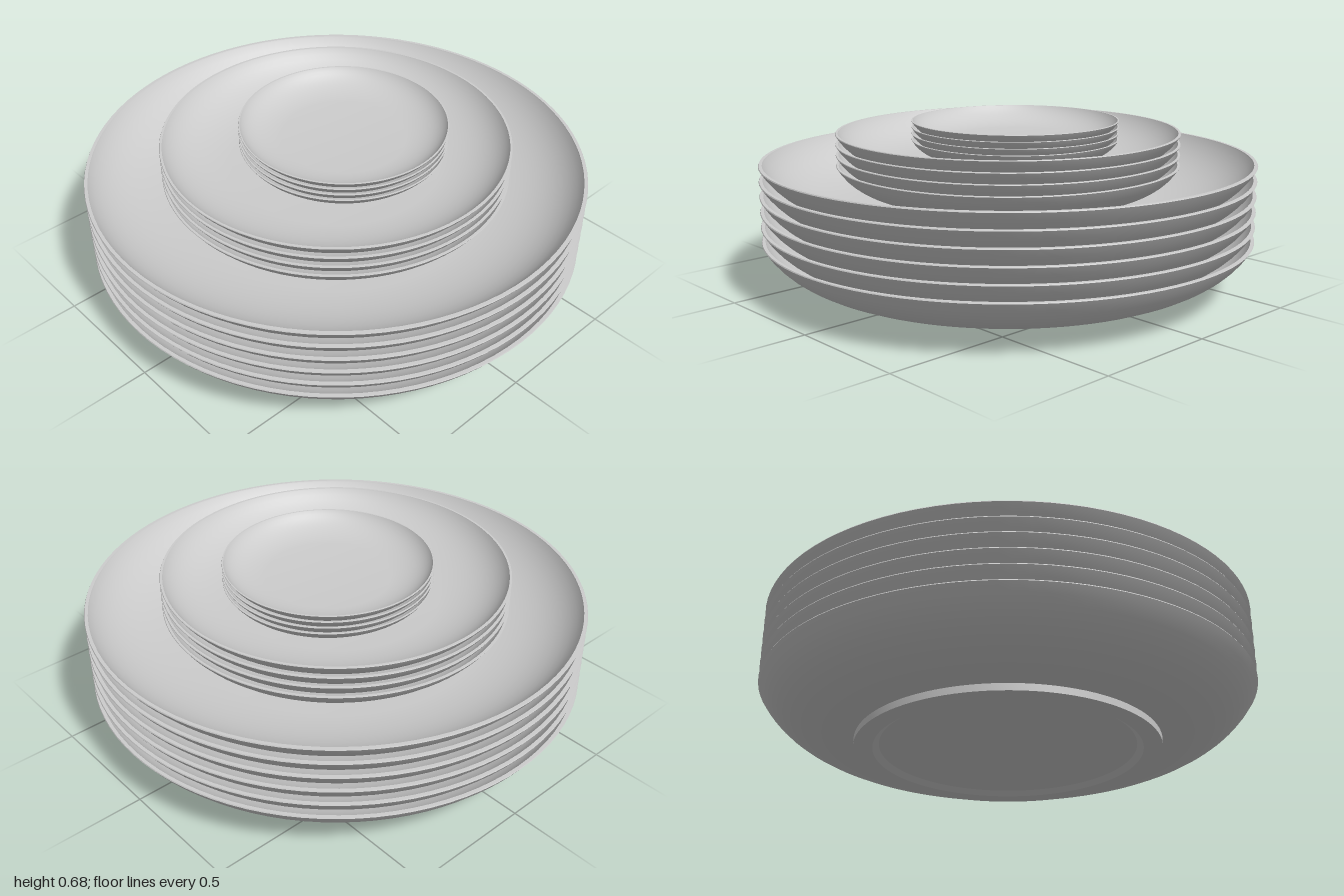
import * as THREE from 'three';
import { toCreasedNormals } from 'three/addons/utils/BufferGeometryUtils.js';

const STEP = 0.061;   // rise between nested plates of unit radius
const FLOOR = 0.048;  // height of the inner floor of a unit plate

const v = (r, y) => new THREE.Vector2(r, y);
const curve = (a, b, c) => new THREE.QuadraticBezierCurve(a, b, c).getPoints(10);

// Unit-radius plate: recessed base, foot ring, curved wall, thin rim, dished inside
function plateGeometry() {
  const profile = [
    v(0, 0.018), v(0.515, 0.018), v(0.54, 0), v(0.615, 0), v(0.615, 0.028),
    ...curve(v(0.63, 0.03), v(0.9, 0.05), v(1, 0.218)),
    v(0.998, 0.222), v(0.985, 0.222),
    ...curve(v(0.982, 0.216), v(0.89, 0.068), v(0.6, FLOOR)),
    v(0, FLOOR),
  ];
  return toCreasedNormals(new THREE.LatheGeometry(profile, 96), 0.6);
}

export function createModel() {
  const model = new THREE.Group();
  model.name = 'plateStack';

  const ceramic = new THREE.MeshStandardMaterial({ color: 0xcccccc });
  ceramic.name = 'pale grey ceramic';
  const geometry = plateGeometry();

  // Each stack stands on the floor of the top plate below it
  const stacks = [
    { name: 'dinnerPlate', count: 6, radius: 1, x: 0 },
    { name: 'sidePlate', count: 4, radius: 0.697, x: 0 },
    { name: 'saucer', count: 4, radius: 0.418, x: 0.042 },
  ];
  let base = 0;
  for (const { name, count, radius, x } of stacks) {
    const stack = new THREE.Group();
    stack.name = name + 'Stack';
    stack.position.set(x, base, 0);
    stack.scale.setScalar(radius);
    for (let i = 0; i < count; i++) {
      const plate = new THREE.Mesh(geometry, ceramic);
      plate.name = name + (i + 1);
      plate.position.y = i * STEP;
      stack.add(plate);
    }
    model.add(stack);
    base += radius * ((count - 1) * STEP + FLOOR);
  }
  return model;
}
